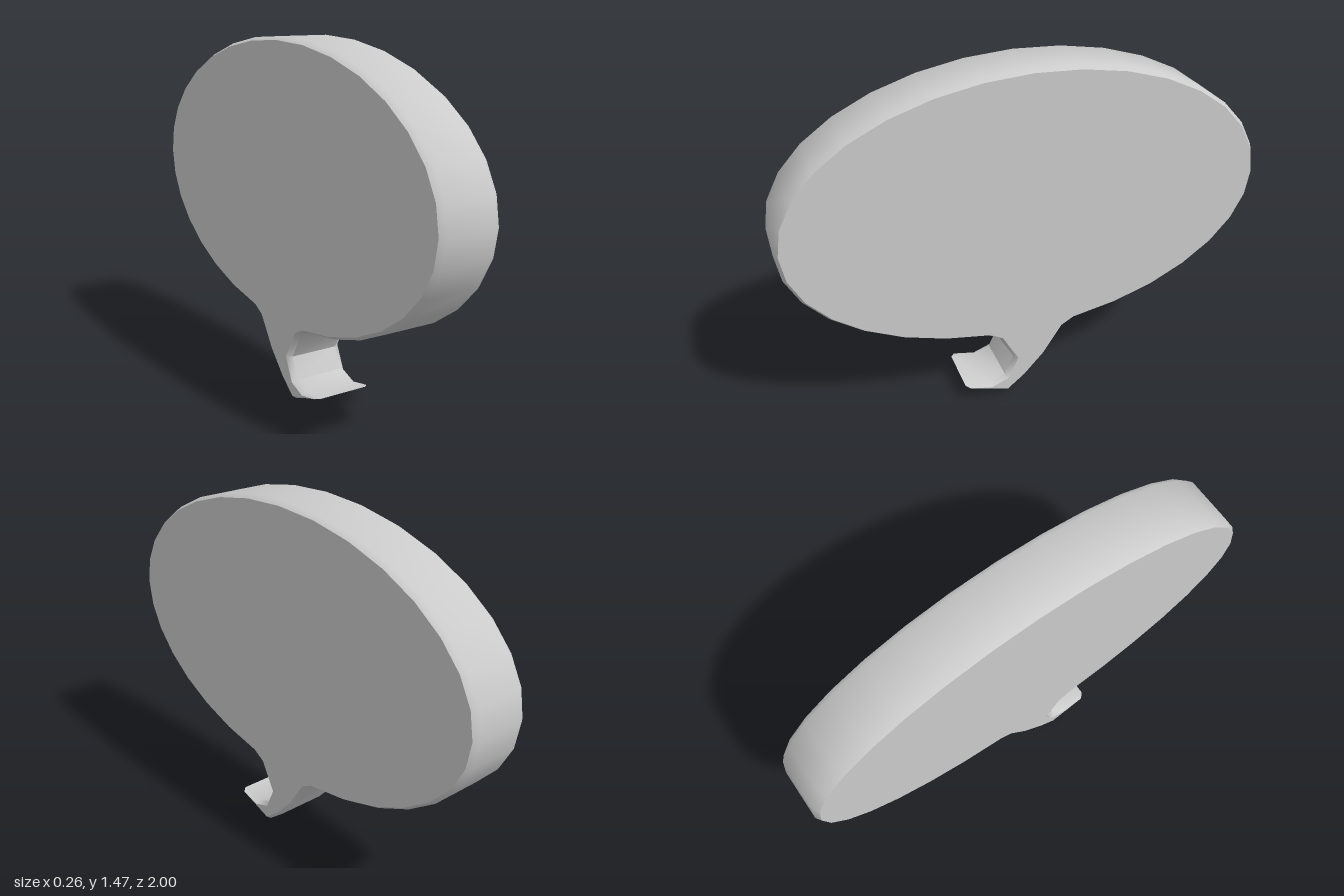
import * as THREE from 'three';
import { toCreasedNormals } from 'three/addons/utils/BufferGeometryUtils.js';

export function createModel() {
  const group = new THREE.Group();
  group.name = 'speechBubble';

  // Oval outline, open at the bottom for the tail (drawn in z, y)
  const outline = [];
  for (let i = 0; i <= 28; i++) {
    const a = THREE.MathUtils.degToRad(-67.5 + i * 11.25);
    outline.push(new THREE.Vector2(Math.cos(a), 0.884 + 0.582 * Math.sin(a)));
  }

  // Curved tail: down the back edge, out to the tip, up the hooked front edge
  const tail = [
    [-0.19, 0.313], [-0.14, 0.285], [-0.06, 0.163], [0.03, 0.066], [0.113, 0],
    [0.3, 0.07], [0.19, 0.06], [0.122, 0.085], [0.082, 0.172], [0.145, 0.285], [0.195, 0.313],
  ];
  tail.forEach(([z, y]) => outline.push(new THREE.Vector2(z, y)));

  // Thick slab with a small chamfer on both faces
  const width = 0.256, chamfer = 0.022, inset = 0.014;
  const depth = width - 2 * chamfer;
  const slab = new THREE.ExtrudeGeometry(new THREE.Shape(outline), {
    depth, bevelEnabled: true, bevelSegments: 1,
    bevelThickness: chamfer, bevelSize: inset, bevelOffset: -inset,
  });
  slab.translate(0, 0, -depth / 2);
  slab.rotateY(-Math.PI / 2);

  const bubble = new THREE.Mesh(
    toCreasedNormals(slab, THREE.MathUtils.degToRad(45)),
    new THREE.MeshStandardMaterial({ color: 0xcccccc }),
  );
  bubble.name = 'bubbleWithTail';
  group.add(bubble);
  return group;
}
